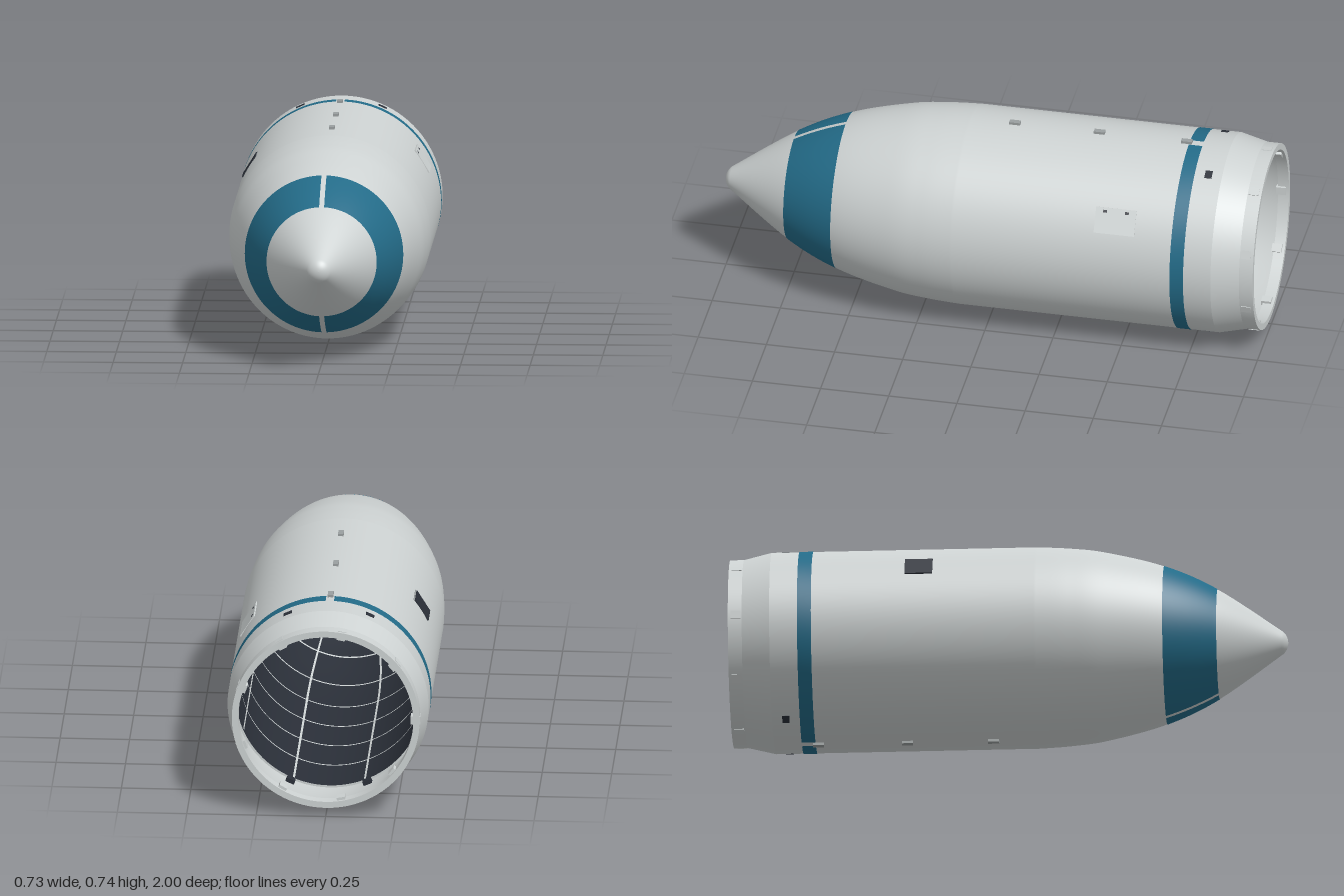
import * as THREE from 'three';

const R = 0.362;      // body radius
const AXIS_Y = 0.371; // height of the long axis
const SEG = 96;

const material = (name, color) => {
  const m = new THREE.MeshStandardMaterial({ color });
  m.name = name;
  return m;
};

export function createModel() {
  const white = material('hullWhite', 0xcdd2d2);
  const blue = material('bandBlue', 0x236b88);
  const dark = material('panelDark', 0x2a2f38);
  const grey = material('fittingGrey', 0x9a9fa0);

  const model = new THREE.Group();
  model.name = 'payloadFairing';
  const body = new THREE.Group();
  body.name = 'body';
  body.position.y = AXIS_Y;
  model.add(body);

  const add = (name, geometry, mat) => {
    const mesh = new THREE.Mesh(geometry, mat);
    mesh.name = name;
    body.add(mesh);
    return mesh;
  };

  // Revolve [radius, z] pairs around the z axis; falling z faces inward
  const turn = (name, pts, mat, start = 0, length = Math.PI * 2, seg = SEG) =>
    add(name, new THREE.LatheGeometry(pts.map(p => new THREE.Vector2(p[0], p[1])), seg, start, length)
      .rotateX(Math.PI / 2), mat);

  // Box on the hull at angle a (from +x, counter-clockwise seen from the front)
  const block = (name, a, r, z, size, mat) => {
    const mesh = add(name, new THREE.BoxGeometry(...size), mat);
    mesh.position.set(r * Math.cos(a), r * Math.sin(a), z);
    mesh.rotation.z = a;
    return mesh;
  };

  // Outer profile: cylinder, ogive and round tip
  const ogive = new THREE.SplineCurve([
    [R, 0.1], [0.355, 0.22], [0.338, 0.35], [0.284, 0.56], [0.197, 0.75], [0.043, 0.978],
  ].map(p => new THREE.Vector2(...p))).getPoints(40).map(p => [p.x, p.y]);
  const tip = [];
  for (let i = 1; i <= 8; i++) {
    const t = THREE.MathUtils.lerp(0.645, Math.PI / 2, i / 8);
    tip.push([i === 8 ? 0 : 0.054 * Math.cos(t), 0.946 + 0.054 * Math.sin(t)]);
  }
  const radiusAt = z => {
    if (z <= 0.1) return R;
    const i = Math.max(1, ogive.findIndex(p => p[1] >= z));
    const [a, b] = [ogive[i - 1], ogive[i]];
    return THREE.MathUtils.mapLinear(z, a[1], b[1], a[0], b[0]);
  };

  turn('shell', [[R, -0.85], [R, -0.4], ...ogive, ...tip], white);
  turn('rearTaper', [[0.338, -0.95], [R, -0.85]], white);
  turn('rearRim', [[0.338, -1], [0.338, -0.95]], white);
  turn('rimEdge', [[0.315, -1], [0.338, -1]], white);
  turn('rimInside', [[0.315, -0.96], [0.315, -1]], white);
  turn('rimStep', [[0.325, -0.96], [0.315, -0.96]], white);
  turn('rearInside', [[0.345, -0.77], [0.345, -0.85], [0.325, -0.96]], white);

  // Painted half bands with a straight gap at top and bottom
  const band = (name, z0, z1, gap, steps) => {
    for (const side of [1, -1]) {
      const pos = [], index = [];
      const n = SEG / 2;
      for (let j = 0; j <= steps; j++) {
        const z = THREE.MathUtils.lerp(z0, z1, j / steps);
        const r = radiusAt(z) + 0.0012;
        const g = Math.asin(gap / r);
        for (let i = 0; i <= n; i++) {
          const a = THREE.MathUtils.lerp(g, Math.PI - g, i / n);
          pos.push(side * r * Math.sin(a), -r * Math.cos(a), z);
          if (i < n && j < steps) {
            const k = j * (n + 1) + i, l = k + n + 1;
            if (side > 0) index.push(k, k + 1, l, k + 1, l + 1, l);
            else index.push(k, l, k + 1, k + 1, l, l + 1);
          }
        }
      }
      const geo = new THREE.BufferGeometry();
      geo.setAttribute('position', new THREE.Float32BufferAttribute(pos, 3));
      geo.setIndex(index);
      geo.computeVertexNormals();
      add(name + (side > 0 ? 'Left' : 'Right'), geo, blue);
    }
  };
  band('noseBand', 0.56, 0.75, 0.009, 14);
  band('rearBand', -0.75, -0.70, 0.015, 1);

  // Dark lining with a light grid of seams
  const lining = (inset, z0) => {
    const pts = [];
    for (let z = z0; z < 0.9; z += 0.05) pts.push([radiusAt(z) - inset, z]);
    pts.push([0, 0.92]);
    return pts.reverse();
  };
  turn('lining', lining(0.025, -0.77), dark);
  turn('liningEdge', [[R - 0.025, -0.77], [0.345, -0.77]], white);
  for (let k = 0; k < 8; k++)
    turn('lengthSeam', lining(0.028, -0.77), white, (k + 0.5) * Math.PI / 4 - 0.012, 0.024, 1);
  for (let z = -0.57; z < 0.8; z += 0.2)
    turn('ringSeam', [[radiusAt(z + 0.004) - 0.028, z + 0.004], [radiusAt(z - 0.004) - 0.028, z - 0.004]], white);

  // Clips around the rear rim
  for (let k = 0; k < 9; k++)
    block('rimClip', (20 + 40 * k) * Math.PI / 180, 0.3225, -0.972, [0.035, 0.03, 0.036], white);

  // Separation tabs along the top and bottom seams
  for (const a of [Math.PI / 2, -Math.PI / 2])
    for (const z of [-0.06, -0.37, -0.69])
      block('seamTab', a, 0.364, z, [0.014, 0.02, 0.04], grey);

  // Four vents behind the rear band
  for (const sx of [1, -1])
    for (const sy of [1, -1])
      block('vent', Math.atan2(sy * 0.33, sx * 0.148), 0.347, -0.8, [0.034, 0.032, 0.026], dark);

  // Access hatch with two latches on the left side
  const hatchAngle = 31.7 * Math.PI / 180;
  block('hatch', hatchAngle, 0.3605, -0.49, [0.007, 0.094, 0.148], white);
  for (const z of [-0.45, -0.53])
    block('hatchLatch', hatchAngle + 0.1, 0.363, z, [0.006, 0.016, 0.014], dark);

  // Dark window with a slim frame on the right side
  const windowAngle = Math.PI - hatchAngle;
  block('window', windowAngle, 0.3605, -0.315, [0.007, 0.09, 0.1], dark);
  block('windowFrame', windowAngle - 0.13, 0.3605, -0.315, [0.007, 0.006, 0.1], grey);

  return model;
}
